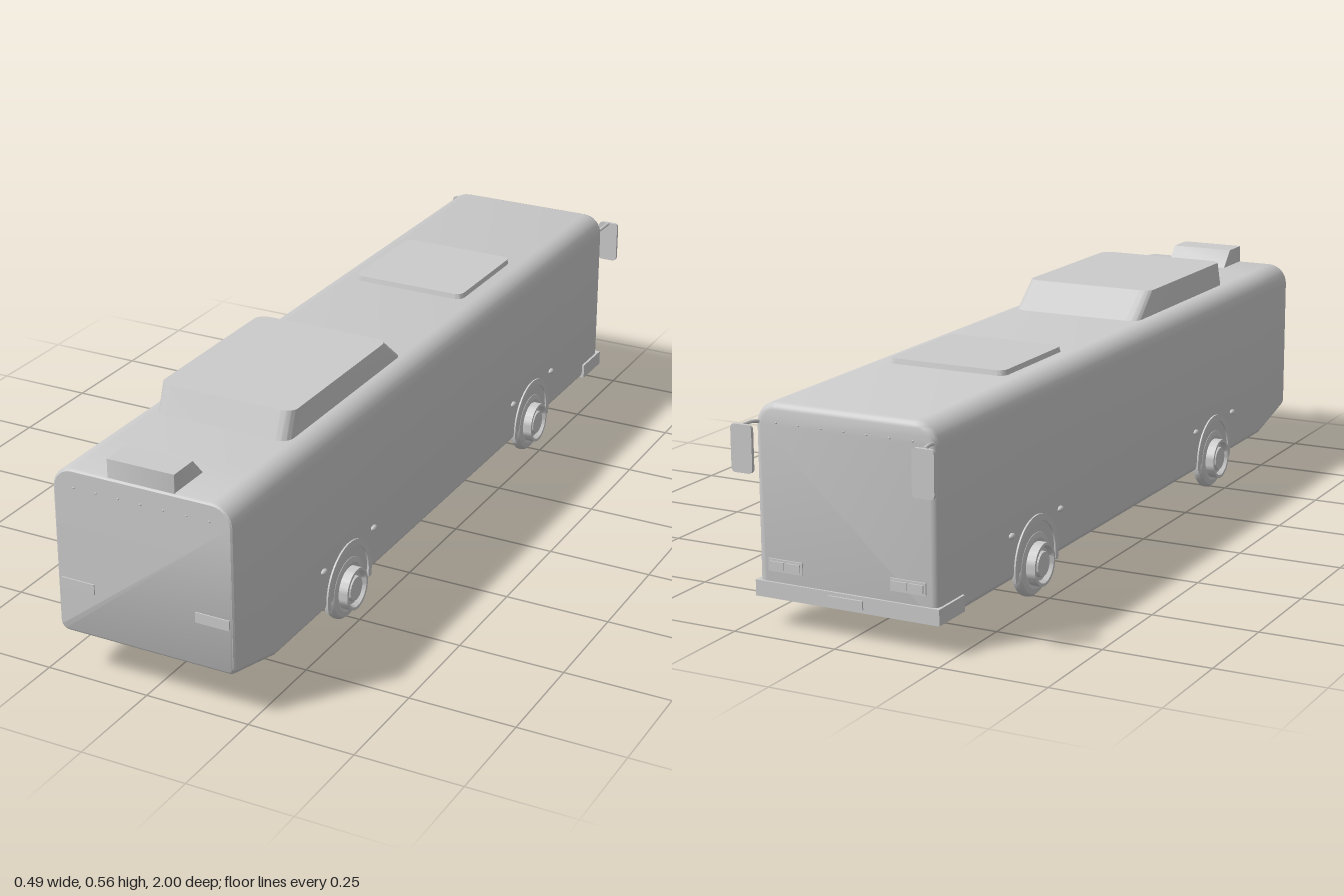
import * as THREE from 'three';
import { toCreasedNormals } from 'three/addons/utils/BufferGeometryUtils.js';

const grey = new THREE.MeshStandardMaterial({ color: 0xcccccc });
const CX = 0.003, HALF = 0.219; // body centre line and half width

function add(parent, name, geo, x = 0, y = 0, z = 0) {
  const m = new THREE.Mesh(geo, grey);
  m.name = name;
  m.position.set(x, y, z);
  parent.add(m);
  return m;
}

// Rounded rectangle outline
function roundRect(w, h, r) {
  const s = new THREE.Shape(), a = w / 2, b = h / 2, q = Math.PI / 2;
  s.absarc(a - r, b - r, r, 0, q);
  s.absarc(-a + r, b - r, r, q, 2 * q);
  s.absarc(-a + r, -b + r, r, 2 * q, 3 * q);
  s.absarc(a - r, -b + r, r, 3 * q, 4 * q);
  return s;
}

// Rounded slab on the roof whose top is shortened to topZ0..topZ1
function roofBlock(w, z0, z1, r, h, topZ0, topZ1, topScale = 1) {
  const geo = new THREE.ExtrudeGeometry(roundRect(w, z1 - z0, r), { depth: h, bevelEnabled: false, curveSegments: 6 });
  geo.rotateX(-Math.PI / 2);
  const p = geo.attributes.position;
  for (let i = 0; i < p.count; i++) {
    const t = (p.getZ(i) + (z1 - z0) / 2) / (z1 - z0);
    const top = p.getY(i) > h / 2;
    p.setZ(i, top ? topZ0 + t * (topZ1 - topZ0) : z0 + t * (z1 - z0));
    if (top) p.setX(i, p.getX(i) * topScale);
  }
  return toCreasedNormals(geo, 0.5);
}

// Cross-section of the shell, counter-clockwise seen from +z
function shellRing(z, bottom, inset) {
  const pts = [], n = 8;
  const corners = [[1, 1, 0.05], [-1, 1, 0.05], [-1, -1, 0.022], [1, -1, 0.022]];
  corners.forEach(([sx, sy, r], c) => {
    const cx = sx * (HALF - r), cy = sy > 0 ? 0.498 - r : bottom + r;
    for (let i = 0; i <= n; i++) {
      const a = (c + i / n) * Math.PI / 2;
      pts.push([CX + cx + (r - inset) * Math.cos(a), cy + (r - inset) * Math.sin(a), z]);
    }
  });
  return pts;
}

function shellGeometry() {
  const rings = [
    [-0.942, 0.063, 0.015], [-0.94, 0.063, 0.008], [-0.935, 0.063, 0.003], [-0.926, 0.063, 0],
    [0.825, 0.063, 0], [0.988, 0.103, 0], [0.994, 0.105, 0.002], [0.997, 0.106, 0.006],
  ].map((s) => shellRing(...s));
  const n = rings[0].length, pos = [], idx = [];
  rings.forEach((r) => r.forEach((p) => pos.push(...p)));
  for (let k = 0; k < rings.length - 1; k++) {
    for (let i = 0; i < n; i++) {
      const a = k * n + i, b = k * n + (i + 1) % n;
      idx.push(a, b, b + n, a, b + n, a + n);
    }
  }
  // Flat end caps
  const last = (rings.length - 1) * n;
  for (let i = 1; i < n - 1; i++) {
    idx.push(0, i + 1, i);
    idx.push(last, last + i, last + i + 1);
  }
  const geo = new THREE.BufferGeometry();
  geo.setAttribute('position', new THREE.Float32BufferAttribute(pos, 3));
  geo.setIndex(idx);
  return toCreasedNormals(geo, 0.6);
}

// Wheel with its axle along x, outer face towards +x
function makeWheel() {
  const g = new THREE.Group();
  const profile = [[0.035, -0.016], [0.058, -0.016], [0.07, -0.013], [0.076, -0.006], [0.077, 0],
    [0.076, 0.006], [0.07, 0.013], [0.058, 0.016], [0.05, 0.013]];
  const rim = [[0.05, 0.0], [0.05, 0.035], [0.043, 0.035], [0.038, 0.024], [0.03, 0.024],
    [0.028, 0.032], [0.0, 0.032]];
  const lathe = (pts) => toCreasedNormals(
    new THREE.LatheGeometry(pts.map(([r, y]) => new THREE.Vector2(r, y)), 40).rotateZ(-Math.PI / 2), 0.6);
  add(g, 'tyre', lathe(profile));
  add(g, 'rim', lathe(rim));
  return g;
}

// Raised lip around a wheel, lying in the yz plane
function archGeometry() {
  const s = new THREE.Shape();
  const a = -0.25;
  s.absarc(0, 0, 0.105, a, Math.PI - a, false);
  s.absarc(0, 0, 0.09, Math.PI - a, a, true);
  return new THREE.ExtrudeGeometry(s, { depth: 0.008, bevelEnabled: false, curveSegments: 28 })
    .rotateY(Math.PI / 2);
}

export function createModel() {
  const bus = new THREE.Group();
  bus.name = 'bus';
  add(bus, 'body', shellGeometry());

  // Roof equipment
  add(bus, 'roofUnit', roofBlock(0.334, 0.135, 0.68, 0.03, 0.064, 0.215, 0.655), 0.004, 0.496, 0);
  add(bus, 'roofHatch', roofBlock(0.294, -0.515, -0.223, 0.02, 0.014, -0.512, -0.226, 0.985), 0.001, 0.496, 0);
  add(bus, 'rearRoofBox', roofBlock(0.163, 0.88, 0.993, 0.001, 0.044, 0.92, 0.993), CX, 0.496, 0);

  // Lamps and plate on the +z end
  for (const s of [-1, 1]) {
    add(bus, 'tailLamp', new THREE.BoxGeometry(0.082, 0.024, 0.006), CX + s * 0.166, 0.224, 0.997);
  }

  // Wheels, arch lips and side markers
  const arch = archGeometry();
  const marker = new THREE.SphereGeometry(0.007, 12, 8);
  for (const s of [-1, 1]) {
    for (const z of [0.5, -0.5]) {
      const w = makeWheel();
      w.name = 'wheel';
      w.position.set(CX + s * 0.207, 0.077, z);
      if (s < 0) w.rotation.y = Math.PI;
      bus.add(w);
      add(bus, 'wheelArch', arch, CX + s * 0.219 - 0.004, 0.084, z);
      for (const dz of [-0.118, 0.118]) {
        add(bus, 'sideMarker', marker, CX + s * 0.221, 0.172, z + dz).scale.z = 1.6;
      }
    }
    // Bumper end wrapping round the side
    add(bus, 'bumperSide', new THREE.BoxGeometry(0.012, 0.036, 0.11), CX + s * 0.219, 0.086, -0.892);
    // Headlamp: a frame with two lenses
    add(bus, 'headlampFrame', new THREE.BoxGeometry(0.085, 0.028, 0.006), CX + s * 0.15, 0.142, -0.942);
    for (const dx of [-0.02, 0.02]) {
      add(bus, 'headlampLens', new THREE.BoxGeometry(0.034, 0.018, 0.006), CX + s * 0.15 + dx, 0.142, -0.945);
    }
    // Mirror on a bent arm
    const path = new THREE.CatmullRomCurve3([
      new THREE.Vector3(CX + s * 0.208, 0.452, -0.93), new THREE.Vector3(CX + s * 0.214, 0.457, -0.96),
      new THREE.Vector3(s * 0.218, 0.457, -0.994)]);
    add(bus, 'mirrorArm', new THREE.TubeGeometry(path, 8, 0.004, 8));
    add(bus, 'mirror', new THREE.ExtrudeGeometry(roundRect(0.052, 0.105, 0.01),
      { depth: 0.008, bevelEnabled: false, curveSegments: 5 }), s * 0.218, 0.407, -1);
  }

  // Bumper and plate on the -z end
  add(bus, 'bumper', new THREE.BoxGeometry(0.45, 0.036, 0.012), CX, 0.086, -0.941);
  add(bus, 'plate', new THREE.BoxGeometry(0.085, 0.02, 0.006), CX, 0.086, -0.948);
  // Row of small marker lamps high on each end
  for (let i = -3; i <= 3; i++) {
    for (const z of [-0.942, 0.997]) {
      add(bus, 'markerLamp', new THREE.SphereGeometry(0.0025, 8, 6), CX + i * 0.055, 0.455, z);
    }
  }
  return bus;
}
